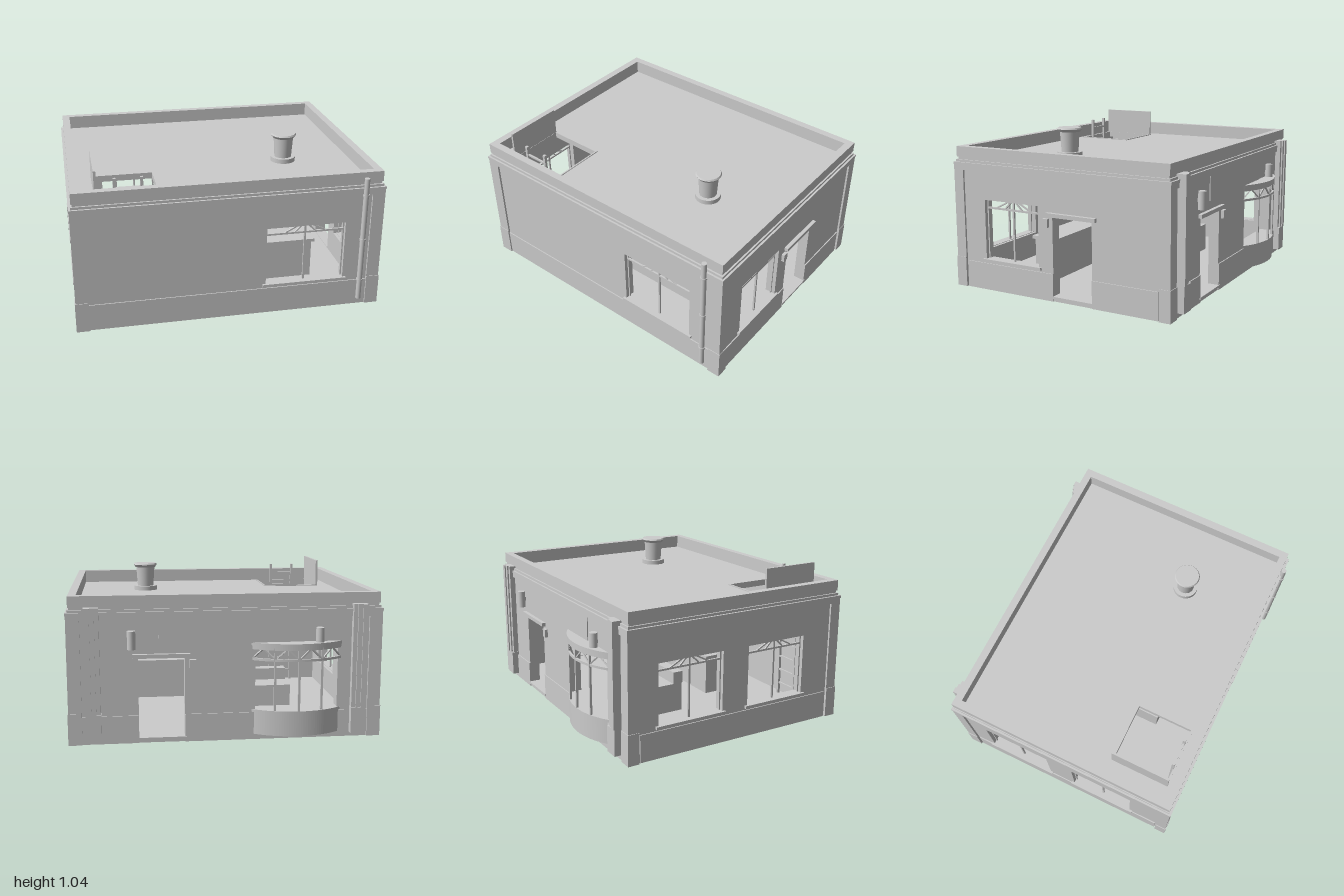
import * as THREE from 'three';

const stone = new THREE.MeshStandardMaterial({ color: 0xcccccc });
stone.name = 'plain grey';

function add(parent, name, geo) {
  const m = new THREE.Mesh(geo, stone);
  m.name = name;
  parent.add(m);
  return m;
}
// box given by its limits on each axis
function box(parent, name, x0, x1, y0, y1, z0, z1) {
  const g = new THREE.BoxGeometry(x1 - x0, y1 - y0, z1 - z0);
  g.translate((x0 + x1) / 2, (y0 + y1) / 2, (z0 + z1) / 2);
  return add(parent, name, g);
}
// thin square bar between two points of the parent's frame
function bar(parent, name, a, b, w = 0.012) {
  const p = new THREE.Vector3(...a), q = new THREE.Vector3(...b);
  const m = add(parent, name, new THREE.BoxGeometry(w, p.distanceTo(q), w));
  m.position.copy(p).lerp(q, 0.5);
  m.quaternion.setFromUnitVectors(new THREE.Vector3(0, 1, 0), q.sub(p).normalize());
}
function cyl(parent, name, x, z, y0, y1, r0, r1 = r0, n = 24) {
  const g = new THREE.CylinderGeometry(r1, r0, y1 - y0, n);
  g.translate(x, (y0 + y1) / 2, z);
  return add(parent, name, g);
}
function rect(Type, x0, x1, y0, y1) {
  const s = new Type();
  s.moveTo(x0, y0);
  s.lineTo(x1, y0);
  s.lineTo(x1, y1);
  s.lineTo(x0, y1);
  s.closePath();
  return s;
}
// extrude a plan shape (x, z) between two heights
function slab(parent, name, shape, y0, y1) {
  const g = new THREE.ExtrudeGeometry(shape, { depth: y1 - y0, bevelEnabled: false, curveSegments: 20 });
  g.rotateX(Math.PI / 2);
  g.translate(0, y1, 0);
  return add(parent, name, g);
}

// wall planes, wall thickness and roof level
const X0 = -0.983, X1 = 0.973, Z0 = -0.748, Z1 = 0.806, T = 0.07, ROOF = 0.845;

// rectangular ring running round the building, e outside the wall planes
function ring(parent, name, e, y0, y1) {
  const s = rect(THREE.Shape, X0 - e, X1 + e, Z0 - e, Z1 + e);
  s.holes.push(rect(THREE.Path, X0 + 0.052, X1 - 0.052, Z0 + 0.05, Z1 - 0.05));
  slab(parent, name, s, y0, y1);
}

// wall in its own frame: u along the wall, y up, z outward
function wall(parent, name, x, z, angle, u0, u1, holes) {
  const side = new THREE.Group();
  side.name = name;
  side.position.set(x, 0, z);
  side.rotation.y = angle;
  parent.add(side);
  const s = rect(THREE.Shape, u0, u1, 0, 0.82);
  holes.forEach(h => s.holes.push(rect(THREE.Path, ...h)));
  const g = new THREE.ExtrudeGeometry(s, { depth: T, bevelEnabled: false });
  g.translate(0, 0, -T);
  add(side, name + 'Panel', g);
  // plinth, broken at doorways
  const doors = holes.filter(h => h[2] < 0.1);
  let from = u0;
  for (const d of doors) {
    box(side, 'plinth', from, d[0], 0, 0.178, -0.01, 0.007);
    from = d[1];
  }
  box(side, 'plinth', from, u1, 0, 0.178, -0.01, 0.007);
  return side;
}

function windowFrame(side, u0, u1) {
  const c = (u0 + u1) / 2, z = -0.03, yb = 0.205, yt = 0.6, tr = 0.545;
  box(side, 'windowSill', u0 - 0.02, u1 + 0.02, 0.19, 0.208, -0.05, 0.016);
  bar(side, 'windowMullion', [c, yb, z], [c, yt, z]);
  bar(side, 'windowTransom', [u0, tr, z], [u1, tr, z]);
  for (const s of [-1, 1]) {
    const edge = (s < 0 ? u0 : u1) - s * 0.004;
    bar(side, 'windowJamb', [edge, yb, z], [edge, yt, z], 0.01);
    bar(side, 'windowFanBar', [c + s * 0.035, yt, z], [c + s * 0.14, tr, z], 0.009);
    bar(side, 'windowFanBar', [c + s * 0.015, yt, z], [c + s * 0.07, tr, z], 0.009);
  }
}

function doorTrim(side, u0, u1, boxU) {
  box(side, 'doorLintel', u0 - 0.035, u1 + 0.035, 0.545, 0.57, -0.01, 0.025);
  box(side, 'doorStep', u0 - 0.01, u1 + 0.01, 0.02, 0.034, -T, 0.012);
  box(side, 'doorBell', boxU - 0.02, boxU + 0.02, 0.475, 0.53, 0, 0.02);
}

// bow window bulging from the wall
function bowWindow(side, c) {
  const bow = new THREE.Group();
  bow.name = 'bowWindow';
  bow.position.x = c;
  side.add(bow);
  const h = 0.29, sag = 0.094, R = (h * h + sag * sag) / (2 * sag), cz = sag - R;
  const half = Math.asin(h / R);
  const at = (a, y, r = R - 0.011) => [r * Math.sin(a), y, cz + r * Math.cos(a)];
  const plan = (r, thick) => {
    const s = new THREE.Shape();
    const a0 = Math.PI / 2 - half, a1 = Math.PI / 2 + half;
    s.absarc(0, cz, r, a0, a1, false);
    if (thick) s.absarc(0, cz, r - thick, a1, a0, true);
    s.closePath();
    return s;
  };
  slab(bow, 'bowApron', plan(R - 0.004), 0.035, 0.18);
  slab(bow, 'bowSill', plan(R - 0.002), 0.18, 0.197);
  slab(bow, 'bowTransom', plan(R - 0.003, 0.014), 0.515, 0.53);
  slab(bow, 'bowHead', plan(R - 0.003, 0.016), 0.585, 0.61);
  slab(bow, 'bowRoof', plan(R), 0.61, 0.628);
  const n = 4, step = 2 * half / n;
  for (let i = 0; i <= n; i++) {
    const a = -half + i * step;
    bar(bow, 'bowPost', at(a, 0.19), at(a, 0.6), 0.014);
    if (i < n) {
      const mid = a + step / 2;
      bar(bow, 'bowFanBar', at(mid, 0.595), at(a, 0.525), 0.009);
      bar(bow, 'bowFanBar', at(mid, 0.595), at(a + step, 0.525), 0.009);
    }
  }
}

export function createModel() {
  const model = new THREE.Group();
  model.name = 'shopBuilding';

  // floor and roof, the roof with a hatch opening
  box(model, 'floor', X0, X1, 0, 0.03, Z0, Z1);
  const roof = rect(THREE.Shape, X0 + 0.02, X1 - 0.02, Z0 + 0.02, Z1 - 0.02);
  roof.holes.push(rect(THREE.Path, -0.82, -0.44, 0.34, 0.71));
  slab(model, 'roof', roof, ROOF - 0.035, ROOF);

  // four walls with openings
  const front = wall(model, 'frontWall', 0, Z1, 0, X0, X1, [[0.22, 0.74, 0.205, 0.6]]);
  const left = wall(model, 'leftWall', X1, 0, Math.PI / 2, -Z1 + T, -Z0 - T,
    [[-0.585, -0.168, 0.205, 0.6], [-0.06, 0.225, 0.03, 0.545]]);
  const right = wall(model, 'rightWall', X0, 0, -Math.PI / 2, Z0 + T, Z1 - T,
    [[-0.55, -0.09, 0.205, 0.6], [0.1, 0.535, 0.205, 0.6]]);
  const back = wall(model, 'backWall', 0, Z0, Math.PI, -X1, -X0,
    [[-0.55, -0.26, 0.03, 0.545], [0.185, 0.715, 0.197, 0.6]]);

  windowFrame(front, 0.22, 0.74);
  windowFrame(left, -0.585, -0.168);
  windowFrame(right, -0.55, -0.09);
  windowFrame(right, 0.1, 0.535);
  doorTrim(left, -0.06, 0.225, -0.105);
  doorTrim(back, -0.55, -0.26, -0.21);
  bowWindow(back, 0.45);

  // corner piers with wider plinth blocks
  for (const sx of [-1, 1]) for (const sz of [-1, 1]) {
    const px = sx < 0 ? X0 : X1, pz = sz < 0 ? Z0 : Z1;
    const pier = (name, e, y0, y1) => box(model, name,
      Math.min(px + sx * e, px - sx * 0.07), Math.max(px + sx * e, px - sx * 0.07), y0, y1,
      Math.min(pz + sz * e, pz - sz * 0.06), Math.max(pz + sz * e, pz - sz * 0.06));
    pier('cornerPier', 0.013, 0.19, 0.79);
    pier('cornerPlinth', 0.017, 0, 0.2);
  }

  // frieze, cornice and parapet
  ring(model, 'frieze', 0.013, 0.785, 0.817);
  ring(model, 'cornice', 0.016, 0.817, 0.834);
  ring(model, 'corniceStep', 0.003, 0.834, 0.85);
  ring(model, 'parapetNeck', -0.008, 0.85, 0.866);
  ring(model, 'parapet', -0.001, 0.866, 0.935);

  // stepped pilasters and lamps on the back wall
  for (const s of [-1, 1]) {
    const strip = (a, b, y0, y1, d) => {
      const c = 0.008, u = [c + s * a, c + s * b].sort((p, q) => p - q);
      box(back, 'pilaster', u[0], u[1], y0, y1, -0.01, d);
    };
    strip(0.79, 0.885, 0.03, 0.2, 0.05);
    strip(0.793, 0.82, 0.2, 0.865, 0.037);
    strip(0.82, 0.85, 0.2, 0.865, 0.047);
    strip(0.85, 0.885, 0.2, 0.865, 0.055);
    cyl(back, 'wallLamp', s * 0.59, 0.028, 0.605, 0.72, 0.026);
    box(back, 'lampBracket', s * 0.59 - 0.01, s * 0.59 + 0.01, 0.65, 0.675, 0, 0.02);
  }
  box(back, 'fasciaBoard', -0.42, 0.46, 0.625, 0.785, 0, 0.006);

  // downpipe on the front
  cyl(front, 'downpipe', 0.855, 0.018, 0.045, 0.9, 0.017, 0.017, 16);
  for (const y of [0.18, 0.47, 0.78]) cyl(front, 'pipeClamp', 0.855, 0.018, y, y + 0.012, 0.021, 0.021, 16);

  // roof vent
  const vx = 0.467, vz = 0.257;
  cyl(model, 'ventBase', vx, vz, ROOF, ROOF + 0.03, 0.083, 0.083, 32);
  cyl(model, 'ventBody', vx, vz, ROOF + 0.02, 1.012, 0.056, 0.066, 32);
  cyl(model, 'ventRim', vx, vz, 1.01, 1.028, 0.071, 0.084, 32);
  cyl(model, 'ventCap', vx, vz, 1.028, 1.038, 0.084, 0.078, 32);

  // open hatch with its rim, lid and ladder
  const rim = rect(THREE.Shape, -0.835, -0.43, 0.328, 0.722);
  rim.holes.push(rect(THREE.Path, -0.82, -0.44, 0.34, 0.71));
  slab(model, 'hatchRim', rim, ROOF - 0.01, ROOF + 0.006);
  box(model, 'hatchLid', -0.837, -0.822, ROOF, 1.035, 0.333, 0.725);
  for (const x of [-0.713, -0.547]) bar(model, 'ladderRail', [x, 0.03, 0.705], [x, 0.975, 0.705], 0.018);
  for (let y = 0.11; y < 1; y += 0.1) bar(model, 'ladderRung', [-0.713, y, 0.705], [-0.547, y, 0.705]);

  // counter and bench inside
  box(model, 'counter', -0.3, 0.645, 0.03, 0.292, 0.245, 0.43);
  box(model, 'counterTop', -0.32, 0.665, 0.292, 0.314, 0.232, 0.44);
  box(model, 'bench', -0.5, 0.1, 0.045, 0.24, -0.32, -0.085);
  box(model, 'benchBack', -0.5, 0.1, 0.24, 0.32, -0.15, -0.08);
  return model;
}
